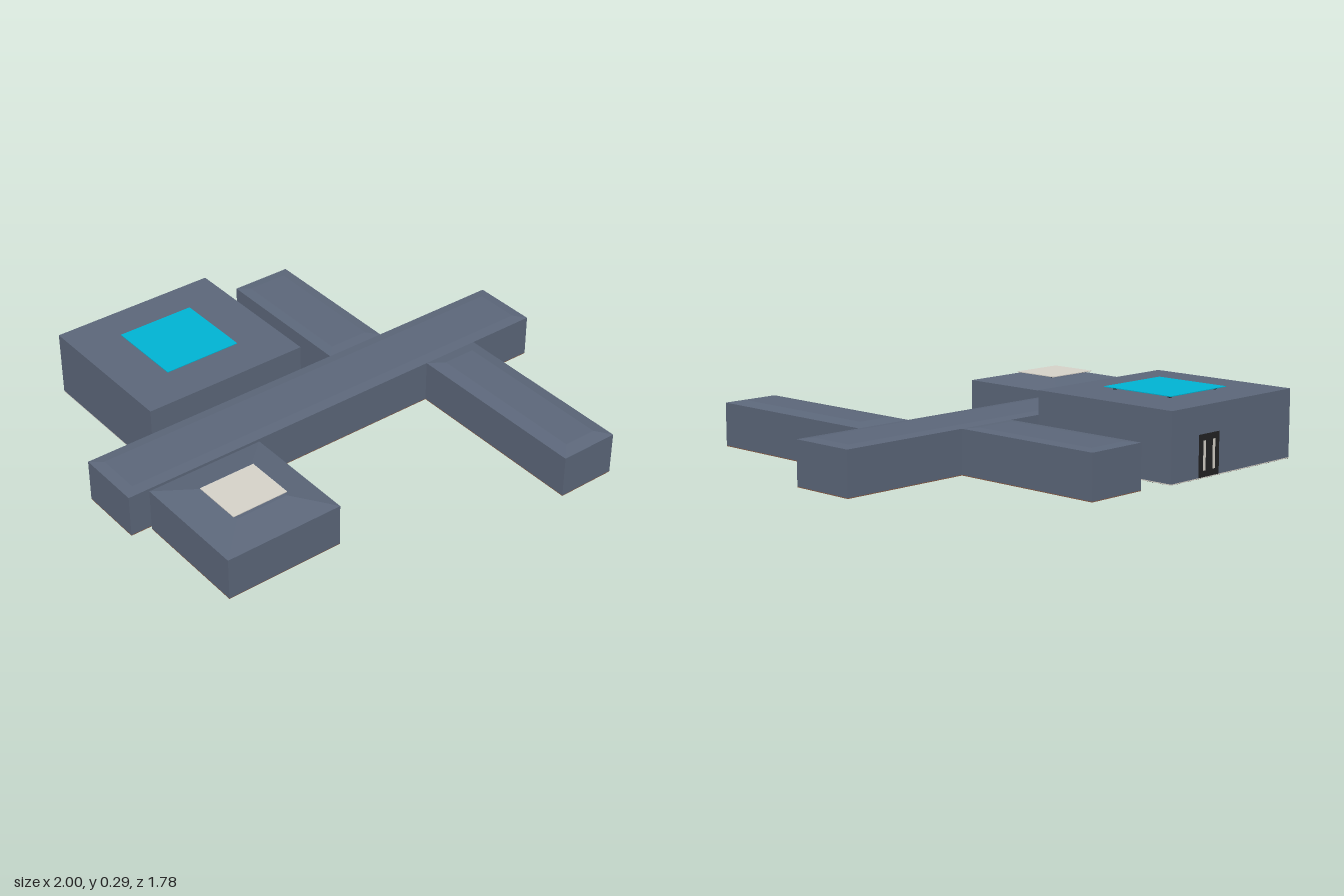
import * as THREE from 'three';
import { mergeGeometries } from 'three/addons/utils/BufferGeometryUtils.js';

const mat = (name, color) => {
  const m = new THREE.MeshStandardMaterial({ color });
  m.name = name;
  return m;
};

export function createModel() {
  const root = new THREE.Group();
  root.name = 'buildingComplex';
  const slate = mat('slate', 0x5c677a);
  const wood = mat('wood', 0x8a5d46);
  const teal = mat('tealGlass', 0x00b4d4);
  const pale = mat('paleStone', 0xd6d2c9);
  const black = mat('black', 0x222224);

  // Box between limits; an inset pulls the top edges in to make a hipped slab
  const slab = (x0, x1, y0, y1, z0, z1, inset = 0) => {
    const w = x1 - x0, d = z1 - z0;
    const g = new THREE.BoxGeometry(w, y1 - y0, d);
    const p = g.attributes.position;
    for (let i = 0; inset && i < p.count; i++) {
      if (p.getY(i) > 0) {
        p.setX(i, p.getX(i) * (1 - 2 * inset / w));
        p.setZ(i, p.getZ(i) * (1 - 2 * inset / d));
      }
    }
    g.computeVertexNormals();
    return g.translate((x0 + x1) / 2, (y0 + y1) / 2, (z0 + z1) / 2);
  };
  const add = (parent, name, geometry, material) => {
    const m = new THREE.Mesh(geometry, material);
    m.name = name;
    parent.add(m);
  };

  // One wing: floor plate, walls and a shallow hipped roof
  const wing = (name, x0, x1, z0, z1, roofTop, inset) => {
    const g = new THREE.Group();
    g.name = name;
    add(g, 'floor', slab(x0, x1, 0, 0.003, z0, z1), wood);
    add(g, 'walls', slab(x0, x1, 0.003, 0.18, z0, z1), slate);
    add(g, 'roof', slab(x0, x1, 0.18, roofTop, z0, z1, inset), slate);
    root.add(g);
    return g;
  };
  wing('mainCorridor', -1, 1, -0.21, 0.072, 0.186, 0.045);
  wing('backCorridor', 0.165, 0.43, -0.87, -0.21, 0.185, 0.045);
  wing('frontCorridor', 0.445, 0.698, 0.072, 0.89, 0.191, 0.055);
  const room = wing('smallRoom', -0.917, -0.41, 0.085, 0.59, 0.211, 0.14);

  // Raised roof light: thin pane on four short posts
  const skylight = (parent, x0, x1, z0, z1, base, top, material) => {
    const posts = [];
    const i = 0.025, t = 0.012;
    for (const x of [x0 + i, x1 - i - t]) {
      for (const z of [z0 + i, z1 - i - t]) posts.push(slab(x, x + t, base, top - 0.003, z, z + t));
    }
    add(parent, 'skylightPosts', mergeGeometries(posts), black);
    add(parent, 'skylightPane', slab(x0, x1, top - 0.003, top, z0, z1), material);
  };
  skylight(room, -0.785, -0.542, 0.228, 0.441, 0.205, 0.22, pale);

  // Wooden link between the small room and the corridor
  add(root, 'connectingDoor', slab(-0.705, -0.61, 0, 0.14, 0.072, 0.085), wood);

  // Large hall
  const hall = new THREE.Group();
  hall.name = 'hall';
  root.add(hall);
  add(hall, 'walls', slab(-0.705, 0.02, 0.005, 0.28, -0.892, -0.218), slate);
  skylight(hall, -0.512, -0.175, -0.724, -0.385, 0.28, 0.292, teal);

  // Tiled floor with dark squares in alternating places
  add(hall, 'floor', slab(-0.705, 0.02, 0.001, 0.005, -0.892, -0.211), pale);
  const tiles = [];
  const nx = 24, nz = 23;
  const sx = 0.725 / nx, sz = 0.681 / nz, h = 0.0135;
  for (let i = 0; i < nx; i++) {
    for (let j = 0; j < nz; j++) {
      if ((i + j) % 2) continue;
      const x = -0.705 + (i + 0.5) * sx, z = -0.892 + (j + 0.5) * sz;
      tiles.push(slab(x - h, x + h, 0, 0.006, z - h, z + h));
    }
  }
  add(hall, 'floorTiles', mergeGeometries(tiles), black);

  // Double door set almost flush in the back wall
  const door = new THREE.Group();
  door.name = 'backDoor';
  hall.add(door);
  add(door, 'doorFrame', slab(-0.26, -0.14, 0.005, 0.17, -0.8935, -0.89), black);
  for (const x of [-0.228, -0.172]) {
    add(door, 'doorSlit', slab(x - 0.007, x + 0.007, 0.03, 0.145, -0.8945, -0.893), pale);
  }
  return root;
}
